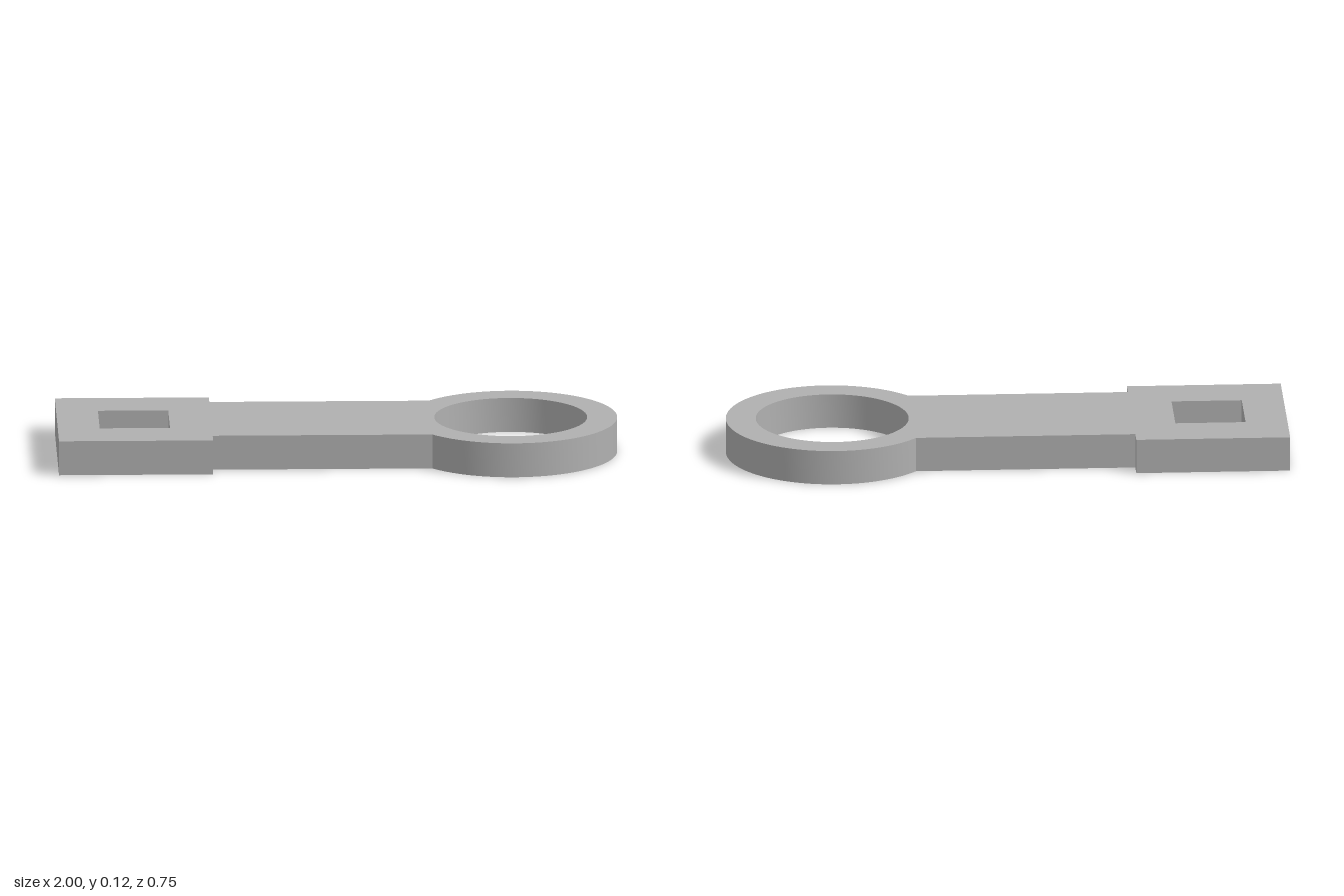
import * as THREE from 'three';
import { toCreasedNormals } from 'three/addons/utils/BufferGeometryUtils.js';

const THICKNESS = 0.125;
const RING = { x: 0.623, outer: 0.377, inner: 0.273 };
const ARM_HALF = 0.242;
const HEAD = { left: -1, right: -0.45, half: 0.308 };
const SOCKET = { x: -0.725, half: 0.1255 };

export function createModel() {
  const group = new THREE.Group();
  group.name = 'linkArm';
  const grey = new THREE.MeshStandardMaterial({ color: 0xb0b0b0 });
  grey.name = 'plain grey';

  // Outline: rectangular head, narrower arm, round ring end
  const joinAngle = Math.PI - Math.asin(ARM_HALF / RING.outer);
  const outline = new THREE.Shape();
  outline.moveTo(HEAD.left, -HEAD.half);
  outline.lineTo(HEAD.right, -HEAD.half);
  outline.lineTo(HEAD.right, -ARM_HALF);
  outline.absarc(RING.x, 0, RING.outer, -joinAngle, joinAngle, false);
  outline.lineTo(HEAD.right, ARM_HALF);
  outline.lineTo(HEAD.right, HEAD.half);
  outline.lineTo(HEAD.left, HEAD.half);
  outline.closePath();

  // Round hole through the ring
  const bore = new THREE.Path();
  bore.absarc(RING.x - 0.003, 0, RING.inner, 0, Math.PI * 2, true);

  // Square hole through the head
  const { x, half } = SOCKET;
  const socket = new THREE.Path([
    [x - half, -half], [x - half, half], [x + half, half], [x + half, -half],
  ].map(([px, py]) => new THREE.Vector2(px, py)));
  socket.closePath();
  outline.holes.push(bore, socket);

  // Extrude upwards from the ground, with smooth round walls and sharp edges
  const extruded = new THREE.ExtrudeGeometry(outline, {
    depth: THICKNESS, bevelEnabled: false, curveSegments: 48,
  });
  extruded.rotateX(-Math.PI / 2);
  const plate = new THREE.Mesh(toCreasedNormals(extruded, Math.PI / 6), grey);
  plate.name = 'linkPlate';
  group.add(plate);
  return group;
}
